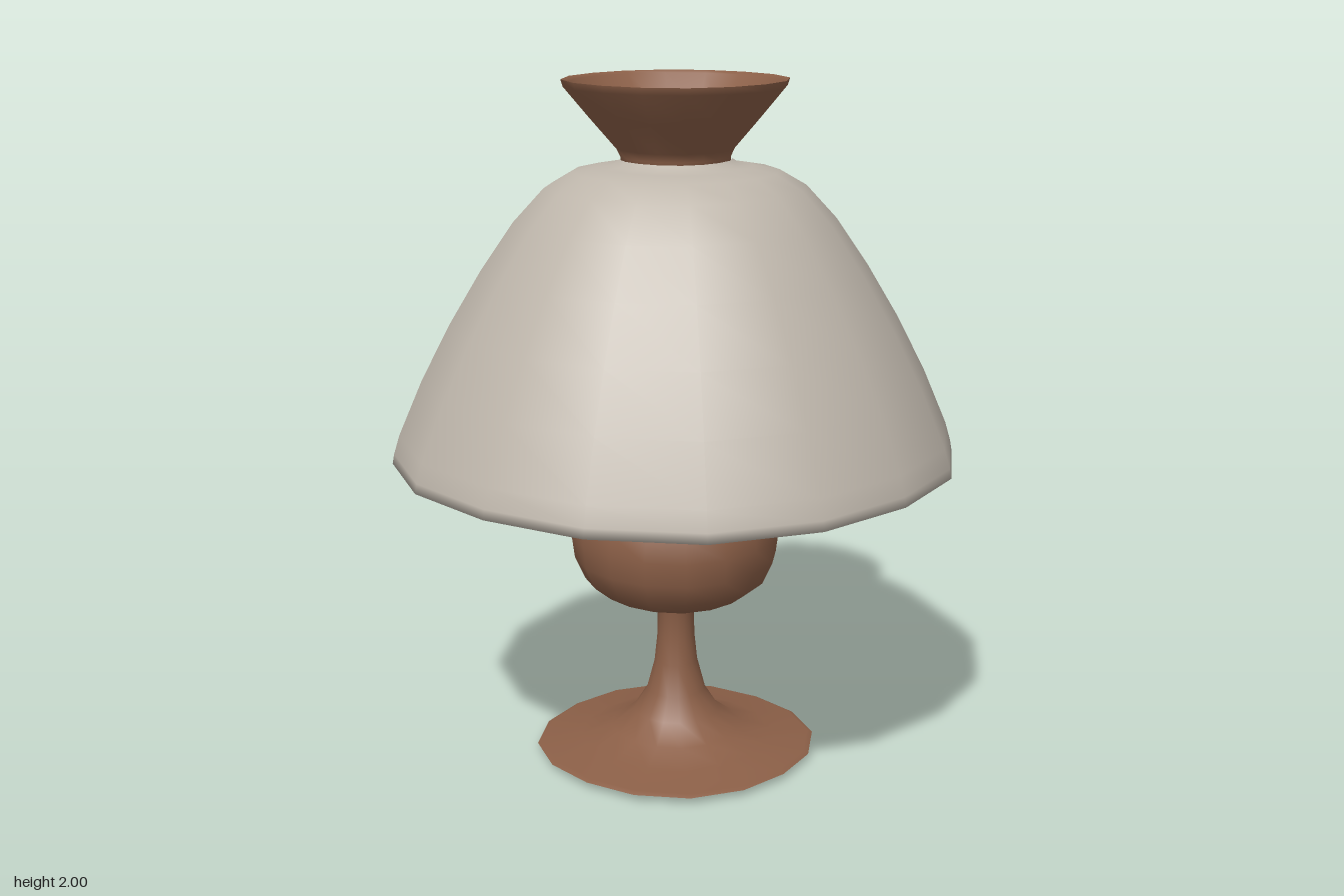
import * as THREE from 'three';

const SIDES = 16;

// Smooth turned form; profile runs [radius, height] with the outside on the way up.
// The radius swells slightly on the diagonals, giving a softly squared circle.
function turned(name, profile, material) {
  const points = profile.map(([r, y]) => new THREE.Vector2(r, y));
  const geometry = new THREE.LatheGeometry(points, SIDES);
  const position = geometry.attributes.position;
  for (let i = 0; i < position.count; i++) {
    const x = position.getX(i);
    const z = position.getZ(i);
    const swell = 1 + 0.033 * Math.sin(2 * Math.atan2(z, x)) ** 2;
    position.setX(i, x * swell);
    position.setZ(i, z * swell);
  }
  const mesh = new THREE.Mesh(geometry, material);
  mesh.name = name;
  return mesh;
}

export function createModel() {
  const wood = new THREE.MeshStandardMaterial({ color: 0x8b5f47 });
  wood.name = 'brown wood';
  const fabric = new THREE.MeshStandardMaterial({ color: 0xbfb7ac });
  fabric.name = 'warm grey shade';

  const lamp = new THREE.Group();
  lamp.name = 'tableLamp';

  // Underside of the foot
  lamp.add(turned('footUnderside', [[0, 0.003], [0.25, 0.008], [0.38, 0.016], [0.405, 0.023]], wood));

  // Foot, stem, bulb-shaped body and upper stem
  lamp.add(turned('turnedBase', [
    [0.405, 0.023], [0.39, 0.03], [0.28, 0.045], [0.19, 0.075], [0.125, 0.125],
    [0.085, 0.19], [0.062, 0.28], [0.054, 0.36], [0.052, 0.455],
    [0.07, 0.475], [0.13, 0.486], [0.21, 0.504], [0.26, 0.545], [0.289, 0.61],
    [0.298, 0.68], [0.291, 0.745], [0.262, 0.8], [0.21, 0.85], [0.155, 0.905],
    [0.115, 0.98], [0.085, 1.08], [0.065, 1.2], [0.055, 1.35], [0.053, 1.77],
  ], wood));

  // Domed shade: inner wall down, rim, outer wall up
  lamp.add(turned('shade', [
    [0.14, 1.74], [0.265, 1.718], [0.335, 1.67], [0.42, 1.57], [0.51, 1.44],
    [0.6, 1.285], [0.677, 1.13], [0.74, 0.985], [0.757, 0.94], [0.763, 0.912],
    [0.793, 0.912], [0.788, 0.94], [0.772, 0.995], [0.705, 1.155], [0.625, 1.315],
    [0.535, 1.47], [0.445, 1.605], [0.36, 1.7], [0.285, 1.745], [0.215, 1.758],
    [0.175, 1.763], [0.155, 1.778],
  ], fabric));

  // Flared cup on top: neck and flare, then rim and bowl
  lamp.add(turned('cupOutside', [
    [0, 1.748], [0.135, 1.75], [0.15, 1.762], [0.151, 1.785], [0.162, 1.808],
    [0.235, 1.895], [0.304, 1.98], [0.31, 2],
  ], wood));
  lamp.add(turned('cupInside', [
    [0.31, 2], [0.29, 1.993], [0.215, 1.895], [0.14, 1.805], [0.09, 1.772], [0, 1.76],
  ], wood));

  return lamp;
}
